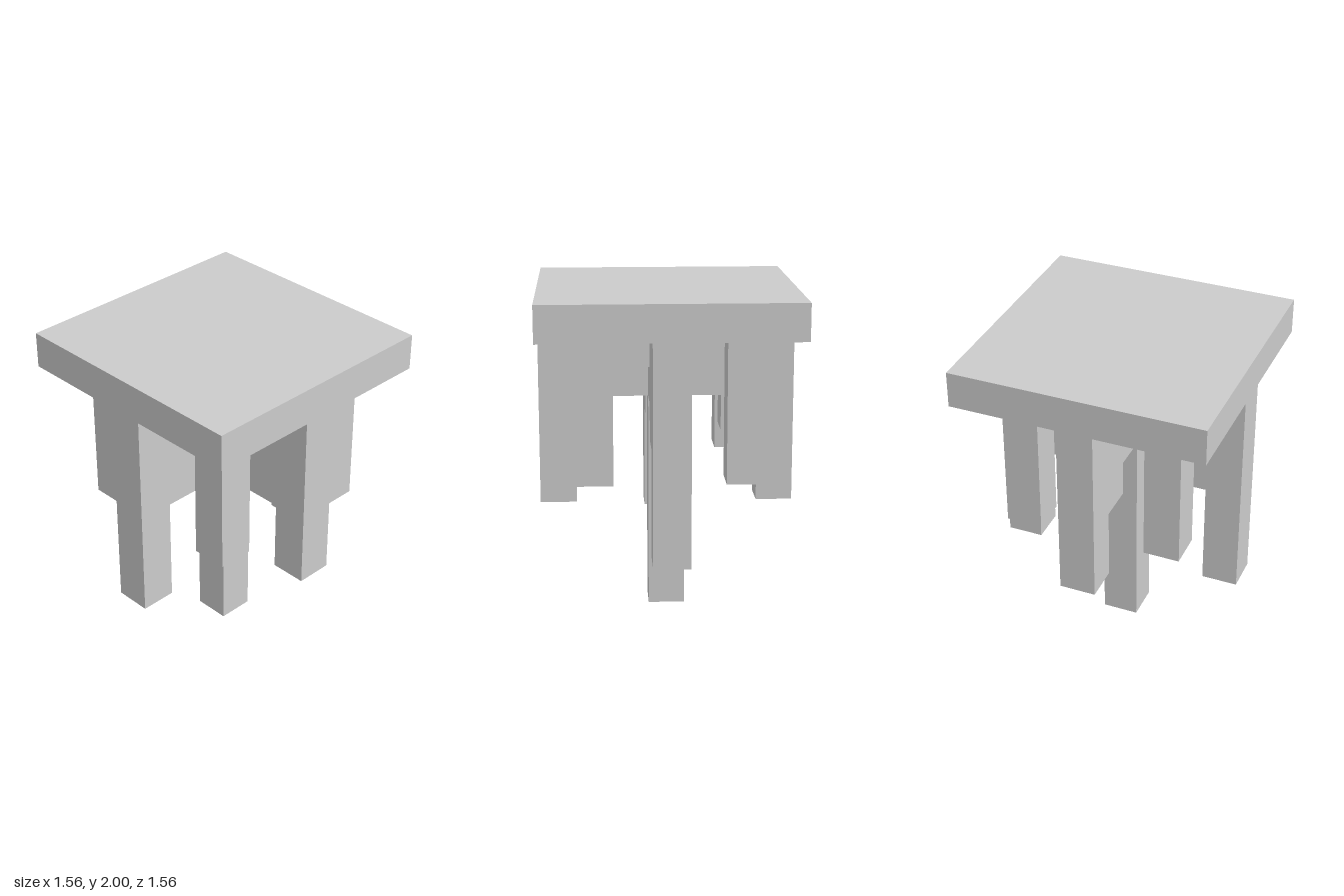
import * as THREE from 'three';

const U = 2 / 9; // block unit: the model is 7 x 9 x 7 blocks

export function createModel() {
  const group = new THREE.Group();
  const material = new THREE.MeshStandardMaterial({ color: 0xcccccc, flatShading: true });

  const add = (name, geometry) => {
    const mesh = new THREE.Mesh(geometry.scale(U, U, U), material);
    mesh.name = name;
    group.add(mesh);
    return mesh;
  };

  // One-block-wide post between two heights
  const post = (name, x, z, bottom, top) =>
    add(name, new THREE.BoxGeometry(1, top - bottom, 1).translate(x, (bottom + top) / 2, z));

  // Square top and long centre column
  add('tableTop', new THREE.BoxGeometry(7, 1, 7).translate(0, 8.5, 0));
  post('centreColumn', 0, 0, 0, 8);

  // Stepped arms from the column out to the edge legs
  const armNames = ['leftArm', 'backArm', 'rightArm', 'frontArm'];
  armNames.forEach((name, i) => {
    const foot = i % 2 ? 2 : 3; // front and back legs reach lower
    const profile = new THREE.Shape([
      [0.5, 8], [0.5, 6], [1.5, 6], [1.5, 5], [2.5, 5], [2.5, foot], [3.5, foot], [3.5, 8],
    ].map(([x, y]) => new THREE.Vector2(x, y)));
    const arm = new THREE.ExtrudeGeometry(profile, { depth: 1, bevelEnabled: false });
    add(name, arm.translate(0, 0, -0.5).rotateY(i * Math.PI / 2));
  });

  // Diagonal legs and the small blocks in the inner corners
  for (const sx of [-1, 1]) {
    for (const sz of [-1, 1]) {
      post('diagonalLeg', 2 * sx, 2 * sz, 4, 8);
      post('innerBlock', sx, sz, 7, 8);
    }
  }
  return group;
}
